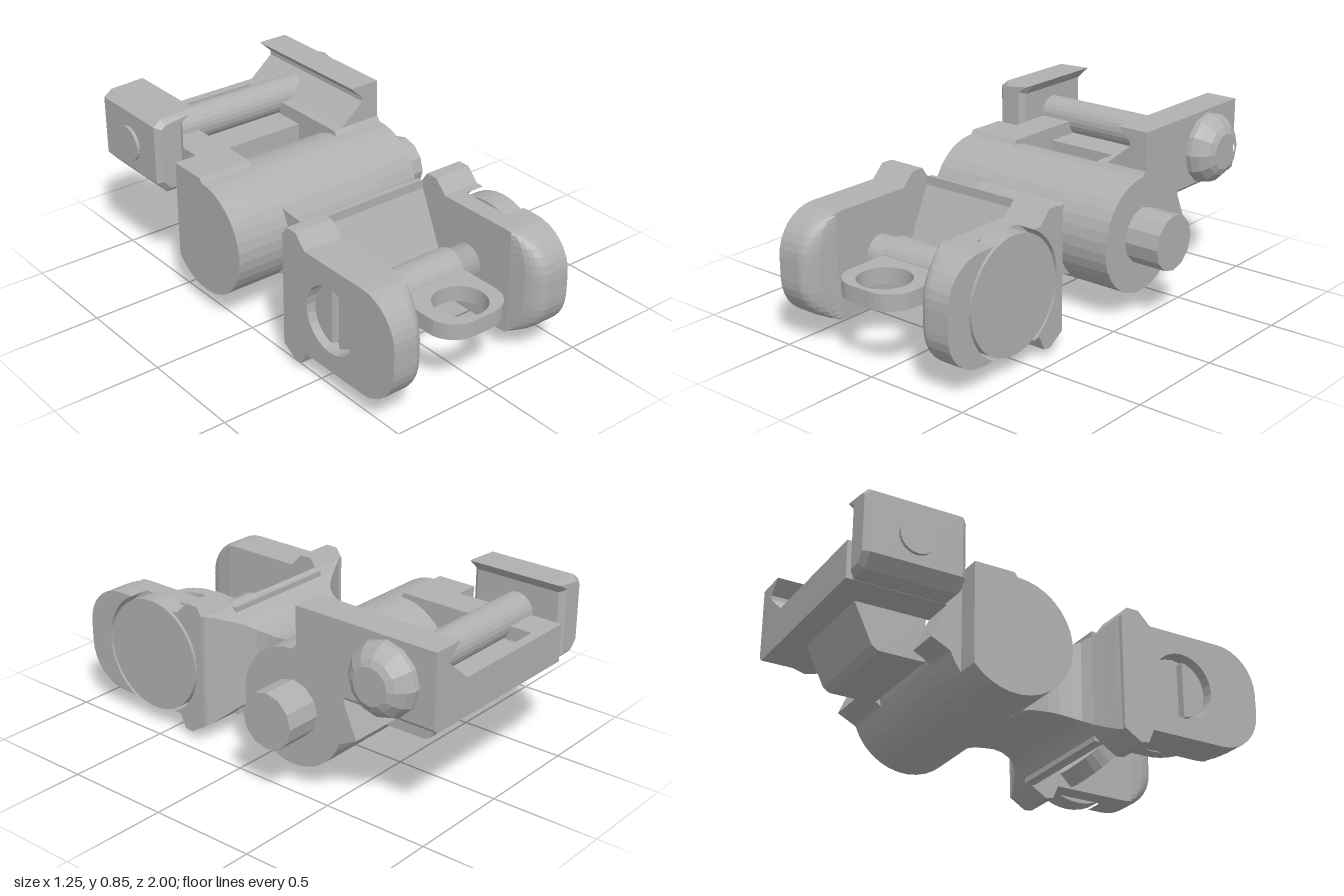
import * as THREE from 'three';

const metal = new THREE.MeshStandardMaterial({ color: 0xb0b0b0 });
metal.name = 'grey metal';
const CX = -0.05; // centre line of the hinged leaf
const D = Math.PI / 180;

// Adds a faceted mesh
function add(parent, name, geo) {
  const g = geo.index ? geo.toNonIndexed() : geo;
  g.computeVertexNormals();
  const m = new THREE.Mesh(g, metal);
  m.name = name;
  parent.add(m);
  return m;
}

// Points [a, b] on an arc, angles in degrees
function arc(ca, cb, r, a0, a1, n) {
  return Array.from({ length: n + 1 }, (_, i) => {
    const a = (a0 + (a1 - a0) * i / n) * D;
    return [ca + r * Math.cos(a), cb + r * Math.sin(a)];
  });
}

function shapeOf(pts, hole, sign) {
  const v = p => p.map(([a, b]) => new THREE.Vector2(a * sign[0], b * sign[1]));
  const s = new THREE.Shape(v(pts));
  if (hole) s.holes.push(new THREE.Path(v(hole)));
  return s;
}

// Profile of [z, y] points pushed along x
function alongX(pts, x0, x1, hole, steps = 1) {
  return new THREE.ExtrudeGeometry(shapeOf(pts, hole, [-1, 1]), { depth: x1 - x0, bevelEnabled: false, steps })
    .rotateY(Math.PI / 2).translate(x0, 0, 0);
}

// Profile of [x, y] points pushed along z
function alongZ(pts, z0, z1, bevel = 0) {
  return new THREE.ExtrudeGeometry(shapeOf(pts, null, [1, 1]), {
    depth: z1 - z0 - 2 * bevel, bevelEnabled: bevel > 0, bevelSize: bevel,
    bevelThickness: bevel, bevelOffset: -bevel, bevelSegments: 1,
  }).translate(0, 0, z0 + bevel);
}

// Profile of [x, z] points pushed along y
function alongY(pts, y0, y1, hole) {
  return new THREE.ExtrudeGeometry(shapeOf(pts, hole, [1, -1]), { depth: y1 - y0, bevelEnabled: false })
    .rotateX(-Math.PI / 2).translate(0, y0, 0);
}

function box(x0, x1, y0, y1, z0, z1) {
  return new THREE.BoxGeometry(x1 - x0, y1 - y0, z1 - z0)
    .translate((x0 + x1) / 2, (y0 + y1) / 2, (z0 + z1) / 2);
}

function rod(r, x0, x1, y, z, sides = 32) {
  return new THREE.CylinderGeometry(r, r, x1 - x0, sides).rotateZ(-Math.PI / 2).translate((x0 + x1) / 2, y, z);
}

// Rectangular cross-sections [z, halfWidth, top, bottom] joined into a solid
function loft(sections) {
  const pos = [], idx = [], n = sections.length;
  for (const [z, w, t, b] of sections) pos.push(CX - w, b, z, CX + w, b, z, CX + w, t, z, CX - w, t, z);
  for (let i = 0; i < n - 1; i++) for (let k = 0; k < 4; k++) {
    const a = i * 4 + k, b = i * 4 + (k + 1) % 4;
    idx.push(a, b, b + 4, a, b + 4, a + 4);
  }
  const e = (n - 1) * 4;
  idx.push(0, 2, 1, 0, 3, 2, e, e + 1, e + 2, e, e + 2, e + 3);
  const g = new THREE.BufferGeometry();
  g.setAttribute('position', new THREE.Float32BufferAttribute(pos, 3));
  g.setIndex(idx);
  return g;
}

function buildBase(root) {
  const base = new THREE.Group();
  base.name = 'clampBase';
  root.add(base);

  // Hinge knuckles and the leaf barrel between them
  const knuckle = back => [
    ...arc(-0.265, 0.375, 0.27, 90, -160, 24), [-0.53, 0.29], [-0.61, 0.33], [-0.54, 0.49], [-0.54, 0.665], [-0.28, 0.665],
  ].map(([z, y]) => [Math.max(z, back), y]);
  add(base, 'rightKnuckle', alongX(knuckle(-1), 0.19, 0.45));
  add(base, 'leftKnuckle', alongX(knuckle(-1), -0.45, -0.29));
  add(base, 'leftKnuckleOuter', alongX(knuckle(-0.47), -0.56, -0.45));
  add(base, 'hingePin', rod(0.13, 0.4, 0.62, 0.375, -0.27, 12));

  // Rail bed with a pocket, dovetail jaw and lower lug
  add(base, 'fixedJaw', alongZ([[0.19, 0.49], [0.43, 0.49], [0.45, 0.51], [0.45, 0.845], [0.295, 0.845],
    [0.36, 0.785], [0.36, 0.765], [0.24, 0.665], [0.19, 0.665]], -1, -0.285));
  add(base, 'bedSide', box(-0.45, -0.29, 0.49, 0.665, -1, -0.29));
  add(base, 'pocketFloor', box(-0.29, 0.19, 0.49, 0.6, -0.955, -0.55));
  add(base, 'bedEnd', box(-0.29, 0.19, 0.49, 0.665, -1, -0.955));
  add(base, 'lowerLug', alongX([[-0.555, 0.5], [-0.555, 0.29], [-0.77, 0.29], [-0.8, 0.31], [-0.89, 0.5]], -0.29, 0.19));

  // Sliding jaw with chamfered edges
  add(base, 'movingJaw', alongZ([[-0.56, 0.485], [-0.46, 0.485], [-0.46, 0.8], [-0.4, 0.857], [-0.57, 0.85],
    [-0.61, 0.82], [-0.61, 0.54]], -0.995, -0.53, 0.025));

  // Cross bolt with domed hex-socket head
  add(base, 'crossBolt', rod(0.083, -0.625, 0.46, 0.665, -0.765, 24));
  const dome = [[0.165, 0], [0.165, 0.025], [0.15, 0.06], [0.115, 0.095], [0.085, 0.11]].map(p => new THREE.Vector2(...p));
  add(base, 'boltHead', new THREE.LatheGeometry(dome, 12).rotateZ(-Math.PI / 2).translate(0.45, 0.665, -0.76));
  add(base, 'hexSocket', alongX(arc(-0.76, 0.665, 0.085, 0, 330, 11), 0.5, 0.56, arc(-0.76, 0.665, 0.075, 0, 300, 5)));
  add(base, 'socketFloor', rod(0.08, 0.46, 0.505, 0.665, -0.76, 12));
}

function buildLeaf(root) {
  const leaf = new THREE.Group();
  leaf.name = 'foldingLeaf';
  root.add(leaf);
  add(leaf, 'leafBarrel', rod(0.27, -0.29, 0.19, 0.375, -0.265, 40));
  add(leaf, 'leafNeck', loft([[-0.1, 0.24, 0.56, 0.17], [-0.04, 0.24, 0.525, 0.19], [0.05, 0.24, 0.515, 0.2],
    [0.1, 0.248, 0.52, 0.197], [0.15, 0.265, 0.532, 0.185], [0.19, 0.29, 0.55, 0.168], [0.22, 0.33, 0.57, 0.145],
    [0.25, 0.39, 0.595, 0.115], [0.27, 0.44, 0.615, 0.095], [0.285, 0.47, 0.628, 0.085]]));
  add(leaf, 'leafWedge', alongX([[0.25, 0.62], [0.27, 0.62], [0.415, 0.3], [0.415, 0.26], [0.3, 0.09], [0.25, 0.09]], -0.34, 0.24));

  // Side ears: outline split into rear flange, front nose and foot
  const flange = [[0.28, 0.625], [0.31, 0.668], [0.37, 0.668], [0.43, 0.607]];
  const nose = [...arc(0.8, 0.407, 0.2, 90, 0, 8), ...arc(0.8, 0.31, 0.2, 0, -90, 8)];
  const foot = [[0.43, 0.11], [0.4, 0.045], [0.36, 0.04], [0.32, 0.065], [0.28, 0.09]];
  const outline = [...flange, ...nose, ...foot];

  // Inner ear layer with its inside front corner rounded
  const innerEar = (x0, x1, face) => {
    const g = alongX(outline, x0, x1, null, 8), p = g.attributes.position;
    for (let i = 0; i < p.count; i++) {
      const t = Math.min(1, Math.abs(p.getX(i) - face) / 0.08), z = p.getZ(i);
      if (z > 0.84) p.setZ(i, 0.84 + (z - 0.84) * Math.max(0.02, Math.sqrt(1 - (1 - t) ** 2)));
    }
    return g;
  };
  add(leaf, 'rightEarInner', innerEar(0.24, 0.335, 0.24));
  add(leaf, 'leftEarInner', innerEar(-0.46, -0.34, -0.34));

  // Right ear opens around the adjusting dial
  add(leaf, 'rightEarNose', alongX([[0.721, 0.607], ...nose, [0.721, 0.11], ...arc(0.595, 0.357, 0.28, -62, 62, 16)], 0.335, 0.43));
  add(leaf, 'rightEarFlange', alongX([...flange, [0.469, 0.607], ...arc(0.595, 0.357, 0.28, 118, 242, 16), [0.469, 0.11], ...foot], 0.335, 0.43));
  add(leaf, 'adjustingDial', rod(0.265, 0.33, 0.43, 0.355, 0.595, 40));

  // Left ear has a recess holding a slotted screw
  add(leaf, 'leftEarOuter', alongX(outline, -0.53, -0.46, arc(0.595, 0.355, 0.155, 0, 345, 23)));
  for (const a of [10, 190])
    add(leaf, 'slottedScrew', alongX(arc(0.595, 0.355, 0.135, a, a + 160, 14).map(([z, y]) => [0.595 + y - 0.355, 0.355 + z - 0.595]), -0.5, -0.455));
}

function buildAperture(root) {
  const sight = new THREE.Group();
  sight.name = 'apertureAssembly';
  root.add(sight);

  // Threaded spindle
  const teeth = [];
  for (let i = 0; i <= 60; i++) teeth.push(new THREE.Vector2(i % 2 ? 0.082 : 0.066, i * 0.01));
  add(sight, 'threadedSpindle', new THREE.LatheGeometry(teeth, 20).rotateZ(-Math.PI / 2).translate(-0.35, 0.355, 0.585));
  add(sight, 'carriageBarrel', rod(0.096, -0.235, 0.135, 0.355, 0.585, 28));

  // Flat ring plate
  const plate = [[-0.235, 0.585], ...arc(-0.105, 0.87, 0.13, 180, 90, 8), ...arc(0.005, 0.87, 0.13, 90, 0, 8), [0.135, 0.585]];
  add(sight, 'ringAperture', alongY(plate, 0.315, 0.39, arc(CX, 0.855, 0.12, 0, 350, 35)));

  // Dished peep plate at an angle to the ring
  const peep = new THREE.Group();
  peep.name = 'peepPlate';
  peep.position.set(CX, 0.355, 0.585);
  peep.rotation.x = 135 * D;
  sight.add(peep);
  const dish = [[0.035, 0], [0.165, 0], [0.165, 0.08], [0.155, 0.08], [0.035, 0.005], [0.035, 0]].map(p => new THREE.Vector2(...p));
  add(peep, 'peepDish', new THREE.LatheGeometry(dish, 28).translate(0, 0, 0.245));
  add(peep, 'peepNeck', box(-0.13, 0.13, 0, 0.075, 0, 0.105));
}

export function createModel() {
  const root = new THREE.Group();
  root.name = 'foldingSight';
  buildBase(root);
  buildLeaf(root);
  buildAperture(root);
  return root;
}
